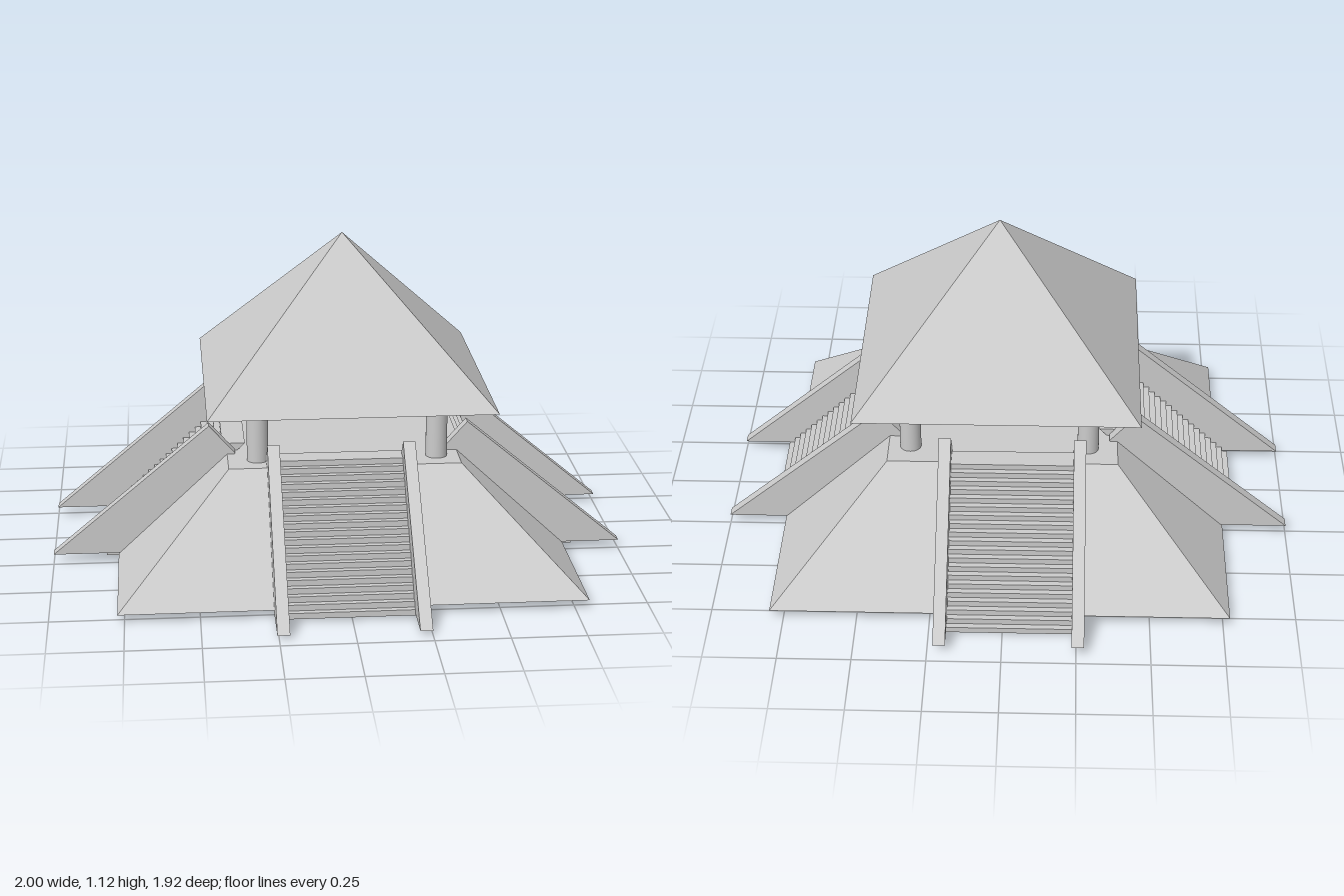
import * as THREE from 'three';

const flat = new THREE.MeshStandardMaterial({ color: 0xcccccc, flatShading: true });
const smooth = new THREE.MeshStandardMaterial({ color: 0xcccccc });

function add(parent, name, geometry, material = flat) {
  const mesh = new THREE.Mesh(geometry, material);
  mesh.name = name;
  parent.add(mesh);
  return mesh;
}

// Square frustum (or pyramid) from half-widths
function frustum(top, bottom, height) {
  return new THREE.CylinderGeometry(top * Math.SQRT2, bottom * Math.SQRT2, height, 4).rotateY(Math.PI / 4);
}

// Extrude a side profile of [outward, up] points across the given width
function slab(points, width) {
  const shape = new THREE.Shape(points.map(([z, y]) => new THREE.Vector2(z, y)));
  return new THREE.ExtrudeGeometry(shape, { depth: width, bevelEnabled: false })
    .translate(0, 0, -width / 2)
    .rotateY(-Math.PI / 2);
}

// One stairway facing +z: zigzag flight between two sloping side walls
function stairway({ name, turn, shift, foot, footY, stepZ, stepY }) {
  const group = new THREE.Group();
  group.name = name;

  const steps = 20, rise = 0.0203, run = 0.0216, tread = 0.08;
  const profile = [[stepZ - tread, stepY]];
  for (let i = 0; i < steps; i++) {
    const z = stepZ - i * run;
    profile.push([z, stepY + i * rise], [z, stepY + (i + 1) * rise]);
  }
  profile.push([stepZ - (steps - 1) * run - tread, stepY + steps * rise]);
  add(group, 'steps', slab(profile, 0.43)).position.x = shift;

  const wall = [
    [foot - 0.43, footY], [foot, footY],
    [foot - 0.55, footY + 0.46], [foot - 0.64, footY + 0.36],
  ];
  for (const side of [-1, 1]) {
    add(group, 'stairWall', slab(wall, 0.042)).position.x = shift + side * 0.2325;
  }
  group.rotation.y = turn;
  return group;
}

export function createModel() {
  const model = new THREE.Group();
  model.name = 'pyramidPavilion';

  // Sloped base with flat platform
  add(model, 'base', frustum(0.4, 0.785, 0.36)).position.set(0.012, 0.21, -0.002);

  // Four stairways
  const half = Math.PI / 2;
  const stairs = [
    { name: 'frontStairs', turn: 0, shift: -0.003, foot: 0.955, footY: 0.015, stepZ: 0.815, stepY: 0.01 },
    { name: 'leftStairs', turn: half, shift: -0.005, foot: 1.0, footY: 0.032, stepZ: 0.835, stepY: 0.012 },
    { name: 'backStairs', turn: 2 * half, shift: 0.0235, foot: 0.962, footY: 0.036, stepZ: 0.848, stepY: 0 },
    { name: 'rightStairs', turn: -half, shift: -0.01, foot: 1.0, footY: 0.034, stepZ: 0.815, stepY: 0.01 },
  ];
  for (const s of stairs) model.add(stairway(s));

  // Corner columns
  for (const x of [-0.285, 0.335]) {
    for (const z of [-0.305, 0.308]) {
      add(model, 'column', new THREE.CylinderGeometry(0.037, 0.037, 0.22, 32), smooth).position.set(x, 0.495, z);
    }
  }

  // Pyramid roof
  add(model, 'roof', frustum(0, 0.493, 0.52)).position.set(0.031, 0.858, 0.014);

  return model;
}
